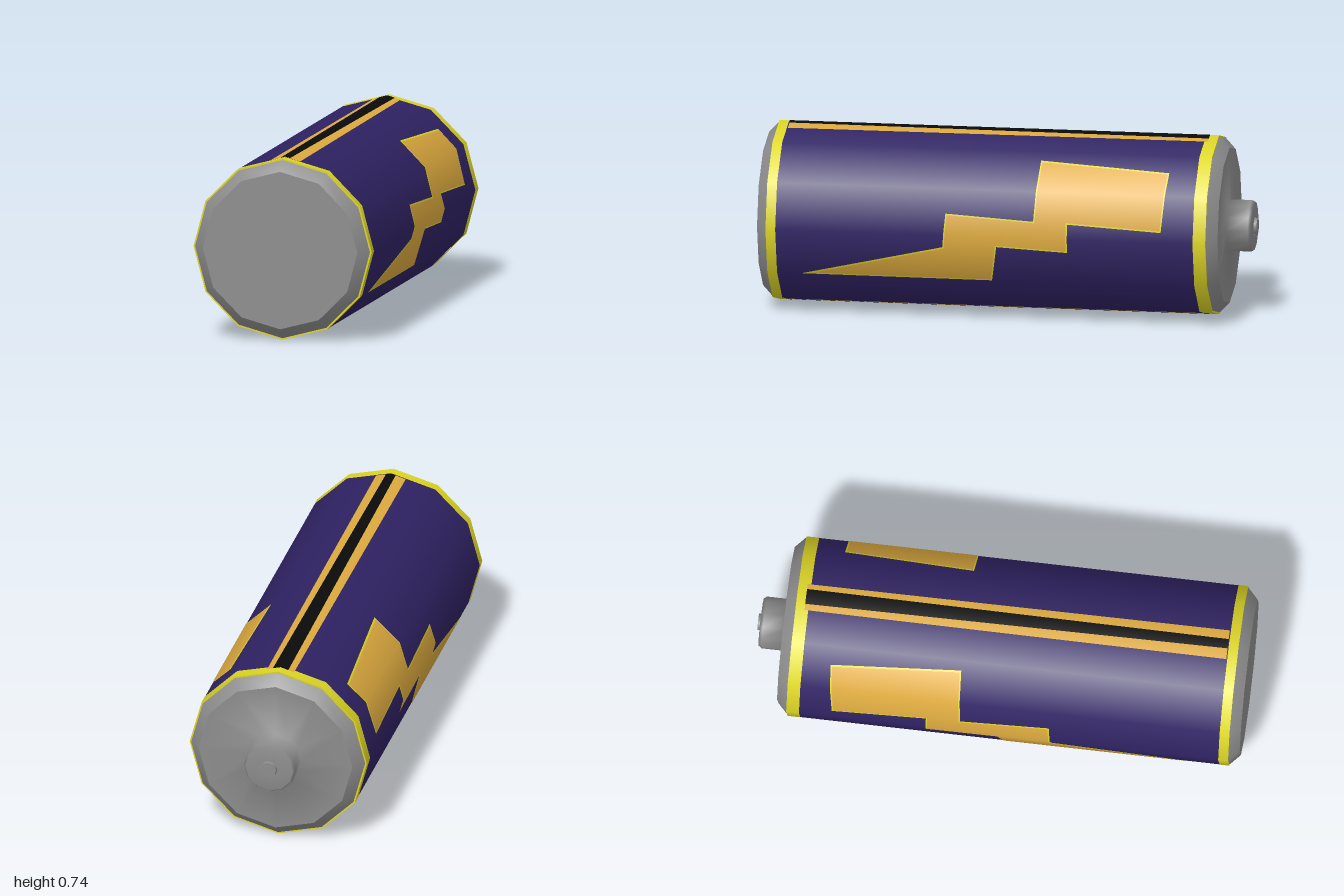
import * as THREE from 'three';

const R = 0.37, SIDES = 12, CY = 0.37;
const mat = (name, color) => {
  const m = new THREE.MeshStandardMaterial({ color });
  m.name = name;
  return m;
};

// Height of the twelve-sided surface above the axis plane, at sideways offset s
function surface(s) {
  const step = (Math.PI * 2) / SIDES;
  const k = Math.floor(Math.asin(THREE.MathUtils.clamp(s / R, -1, 1)) / step + 1e-9);
  const a = k * step, b = a + step;
  const t = (s / R - Math.sin(a)) / (Math.sin(b) - Math.sin(a));
  return R * THREE.MathUtils.lerp(Math.cos(a), Math.cos(b), t);
}

// Keep the part of a [z, s] polygon where sign * (s - limit) >= 0
function clip(poly, limit, sign) {
  const out = [];
  poly.forEach((p, i) => {
    const q = poly[(i + 1) % poly.length];
    const dp = sign * (p[1] - limit), dq = sign * (q[1] - limit);
    if (dp >= 0) out.push(p);
    if (dp * dq < 0) {
      const t = dp / (dp - dq);
      out.push([p[0] + (q[0] - p[0]) * t, limit]);
    }
  });
  return out;
}

// Shrink a polygon by moving its edges inwards
function inset(poly, d) {
  const n = poly.length;
  const pts = poly.map(p => new THREE.Vector2(p[0], p[1]));
  const side = THREE.ShapeUtils.isClockWise(pts) ? -1 : 1;
  return pts.map((p, i) => {
    const u = p.clone().sub(pts[(i + n - 1) % n]).normalize();
    const v = pts[(i + 1) % n].clone().sub(p).normalize();
    const m = new THREE.Vector2(-u.y - v.y, u.x + v.x).multiplyScalar((side * d) / (1 + u.dot(v)));
    return [p.x + m.x, p.y + m.y];
  });
}

export function createModel() {
  const model = new THREE.Group();
  model.name = 'battery';
  const metal = mat('grey metal', 0x8c8c8c);
  const purple = mat('purple wrap', 0x2f2263);
  const yellow = mat('yellow trim', 0xdcd524);
  const orange = mat('orange print', 0xdca93e);
  const black = mat('black print', 0x0a0a0a);

  // Turned part: profile of [radius, z] running from back to front
  function turned(name, profile, material) {
    const geo = new THREE.LatheGeometry(profile.map(p => new THREE.Vector2(p[0], p[1])), SIDES);
    geo.rotateX(Math.PI / 2);
    const mesh = new THREE.Mesh(geo, material);
    mesh.name = name;
    mesh.position.y = CY;
    model.add(mesh);
  }

  // Printed patch wrapped over the facets, turned about the axis by angle
  function printed(name, poly, material, lift, angle) {
    const group = new THREE.Group();
    group.name = name;
    for (let k = -3; k < 3; k++) {
      const lo = R * Math.sin((k * Math.PI) / 6), hi = R * Math.sin(((k + 1) * Math.PI) / 6);
      const part = clip(clip(poly, lo, 1), hi, -1);
      if (part.length < 3) continue;
      const geo = new THREE.ShapeGeometry(new THREE.Shape(part.map(p => new THREE.Vector2(-p[0], p[1]))));
      const pos = geo.attributes.position, nor = geo.attributes.normal;
      for (let i = 0; i < pos.count; i++) {
        const z = -pos.getX(i), s = pos.getY(i), x = surface(s), len = Math.hypot(x, s);
        pos.setXYZ(i, x * (1 + lift / len), s * (1 + lift / len), z);
        nor.setXYZ(i, x / len, s / len, 0);
      }
      const mesh = new THREE.Mesh(geo, material);
      mesh.name = name + 'Facet';
      group.add(mesh);
    }
    group.position.y = CY;
    group.rotation.z = angle;
    model.add(group);
  }

  // Wrapped body
  turned('body', [[R, -0.8], [R, 0.93]], purple);

  // Yellow end bands with a narrow lip
  turned('backBand', [[R + 0.001, -0.842], [R + 0.001, -0.79]], yellow);
  turned('backLip', [[0.35, -0.842], [R + 0.001, -0.842]], yellow);
  turned('frontBand', [[R + 0.001, 0.918], [R + 0.001, 0.958]], yellow);
  turned('frontLip', [[R + 0.001, 0.958], [0.35, 0.958]], yellow);

  // Metal ends
  turned('frontChamfer', [[0.364, 0.95], [0.364, 0.96], [0.322, 1]], metal);
  turned('frontFace', [[0.322, 1], [0, 1]], metal);
  turned('backChamfer', [[0.322, -0.885], [0.364, -0.845], [0.364, -0.835]], metal);

  // Raised terminal blending into the back face
  turned('terminal', [[0.035, -0.988], [0.098, -0.988], [0.107, -0.975], [0.107, -0.885], [0.322, -0.885]], metal);
  turned('terminalNubSide', [[0.033, -1], [0.035, -0.985]], metal);
  turned('terminalNubFace', [[0, -1], [0.033, -1]], metal);

  // Lightning bolts on both sides, orange with a thin yellow edge
  const bolt = [
    [0.82, 0.183], [0.235, 0.32], [0.225, 0.457], [-0.135, 0.437], [-0.147, 0.66], [-0.676, 0.632],
    [-0.658, 0.41], [-0.275, 0.43], [-0.275, 0.313], [0.015, 0.328], [0.038, 0.18],
  ].map(([z, y]) => [z, y - CY]);
  for (const side of [1, -1]) {
    const poly = bolt.map(([z, s]) => [z, s * side]);
    const angle = side > 0 ? 0 : Math.PI;
    const label = side > 0 ? 'left' : 'right';
    printed(label + 'BoltEdge', poly, yellow, 0.001, angle);
    printed(label + 'Bolt', inset(poly, 0.006), orange, 0.002, angle);
  }

  // Striped seams along top and bottom
  const strip = (back, front) => [[-0.805, -back], [-0.805, back], [0.914, front], [0.914, -front]];
  for (const [label, angle] of [['top', Math.PI / 2], ['bottom', -Math.PI / 2]]) {
    printed(label + 'Stripe', strip(0.056, 0.062), orange, 0.001, angle);
    printed(label + 'StripeCentre', strip(0.032, 0.02), black, 0.002, angle);
  }
  return model;
}
